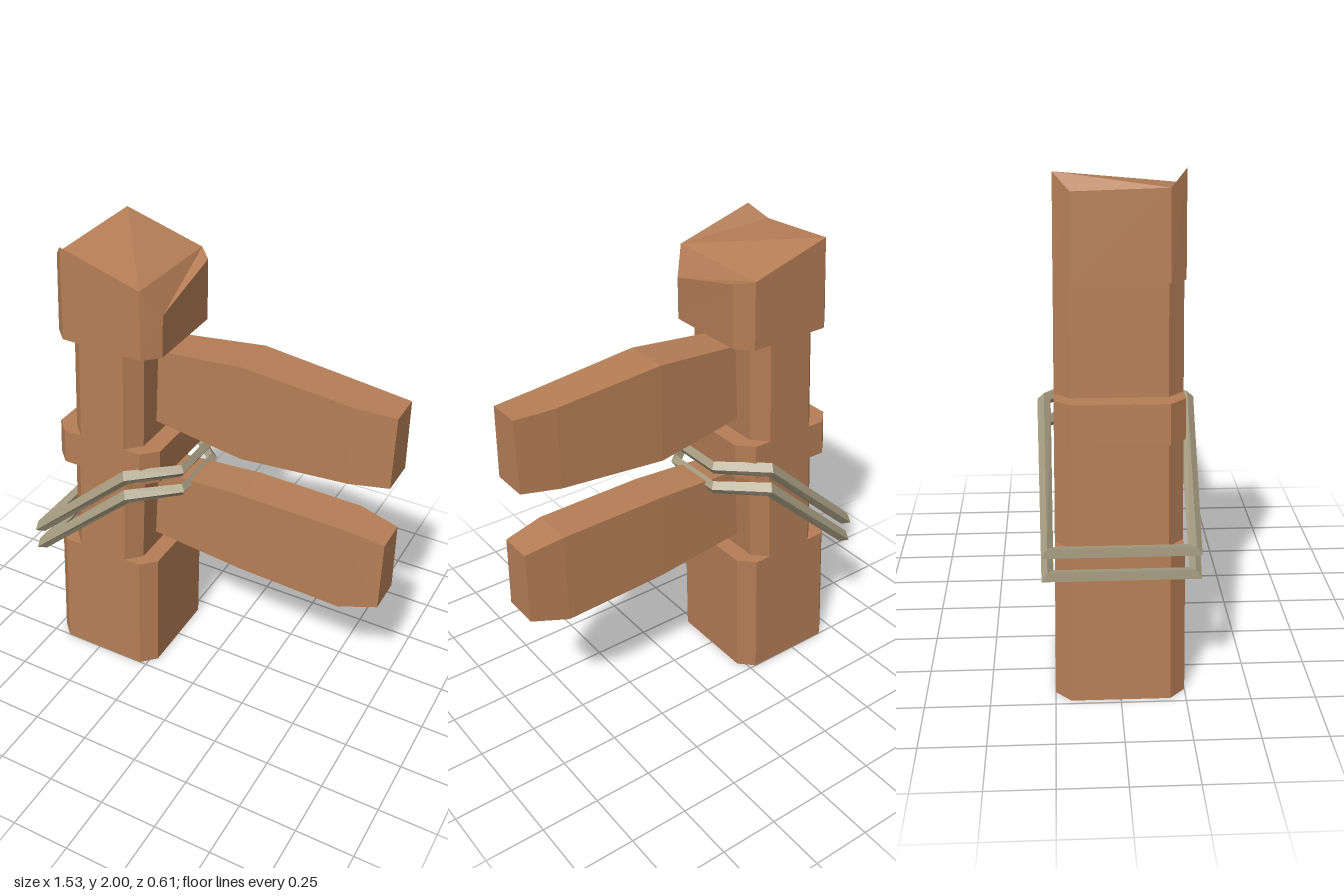
import * as THREE from 'three';

const wood = new THREE.MeshStandardMaterial({ color: 0xb57e56 });
wood.name = 'wood';
const rope = new THREE.MeshStandardMaterial({ color: 0xa89d82 });
rope.name = 'rope';

// Faceted skin through rings of equal size; caps are lists of triangles or null
function loft(rings, { closed = false, start = null, end = null } = {}) {
  const n = rings[0].length, pos = [];
  const tri = (a, b, c) => pos.push(...a, ...b, ...c);
  const spans = closed ? rings.length : rings.length - 1;
  for (let r = 0; r < spans; r++) {
    const a = rings[r], b = rings[(r + 1) % rings.length];
    for (let i = 0; i < n; i++) {
      const j = (i + 1) % n;
      tri(a[i], a[j], b[j]);
      tri(a[i], b[j], b[i]);
    }
  }
  const last = rings[rings.length - 1];
  start?.forEach(([a, b, c]) => tri(rings[0][a], rings[0][c], rings[0][b]));
  end?.forEach(([a, b, c]) => tri(last[a], last[b], last[c]));
  const g = new THREE.BufferGeometry();
  g.setAttribute('position', new THREE.Float32BufferAttribute(pos, 3));
  g.computeVertexNormals();
  return g;
}

const fan = n => Array.from({ length: n - 2 }, (_, i) => [0, i + 1, i + 2]);

// Chamfered rectangle of the post; one height, or one for each corner
function postRing(y, left, right) {
  const ys = Array.isArray(y) ? y : Array(8).fill(y);
  const h = 0.25 - 0.008 * ys[0], c = 0.06;
  return [
    [left + c, h], [right - c, h], [right, h - c], [right, c - h],
    [right - c, -h], [left + c, -h], [left, c - h], [left, h - c],
  ].map(([x, z], i) => [x, ys[i], z]);
}

export function createModel() {
  const model = new THREE.Group();
  const add = (name, geometry, material) => {
    const mesh = new THREE.Mesh(geometry, material);
    mesh.name = name;
    model.add(mesh);
  };

  // Leaning post: wide blocks with notched necks between them
  const caps = { start: fan(8), end: fan(8) };
  add('postBase', loft([postRing(0, -0.73, -0.22), postRing(0.59, -0.695, -0.2)], caps), wood);
  add('lowerNeck', loft([postRing(0.59, -0.615, -0.275), postRing(1.02, -0.59, -0.25)]), wood);
  add('postBand', loft([postRing(1.02, -0.665, -0.18), postRing(1.175, -0.655, -0.172)], caps), wood);
  add('upperNeck', loft([postRing(1.175, -0.575, -0.25), postRing(1.61, -0.55, -0.23)]), wood);

  // Head with a rough, slanted cut
  const cut = [2, 1.9, 1.79, 1.875, 1.89, 1.99, 1.93, 1.94];
  add('postHead', loft([postRing(1.61, -0.625, -0.15), postRing(cut, -0.605, -0.143)], {
    start: fan(8),
    end: [[0, 1, 7], [7, 1, 5], [7, 5, 6], [1, 4, 5], [1, 2, 4], [2, 3, 4]],
  }), wood);

  // Rails: x, bottom, top, back, front at each station
  const rails = {
    upperRail: [
      [-0.3, 1.247, 1.56, -0.095, 0.08], [0.145, 1.187, 1.6, -0.12, 0.09],
      [0.6, 1.22, 1.556, -0.106, 0.084], [0.765, 1.245, 1.55, -0.085, 0.07],
    ],
    lowerRail: [
      [-0.3, 0.658, 0.978, -0.095, 0.08], [0.145, 0.618, 1, -0.108, 0.088],
      [0.6, 0.598, 0.992, -0.106, 0.088], [0.765, 0.65, 0.962, -0.085, 0.07],
    ],
  };
  for (const [name, stations] of Object.entries(rails)) {
    const rings = stations.map(([x, b, t, back, front]) => [
      [x, b, front], [x, b, back], [x, t, back + 0.008], [x, t, front - 0.008],
    ]);
    add(name, loft(rings, { start: fan(4), end: fan(4) }), wood);
  }

  // Two rope loops with a diamond section: centre, outward and upward offsets
  const half = [
    { p: [-0.747, 0.64, 0.273], out: [-0.018, -0.015, 0.022], up: [-0.016, 0.022, 0] },
    { p: [-0.28, 1.07, 0.28], out: [0.005, 0, 0.026], up: [-0.01, 0.029, 0] },
    { p: [-0.105, 1.07, 0.13], out: [0.018, 0, 0.012], up: [0, 0.029, 0] },
  ];
  const flip = ([x, y, z]) => [x, y, -z];
  const mirrored = half.map(s => ({ p: flip(s.p), out: flip(s.out), up: s.up })).reverse();
  const shift = (p, v, k) => p.map((c, i) => c + k * v[i]);
  const ropeRings = [...half, ...mirrored].map(({ p, out, up }) => [
    shift(p, up, 1), shift(p, out, 1), shift(p, up, -1), shift(p, out, -1),
  ]);
  [['upperRopeLoop', 0], ['lowerRopeLoop', -0.095]].forEach(([name, dy]) => {
    add(name, loft(ropeRings, { closed: true }).translate(0, dy, 0), rope);
  });

  return model;
}
